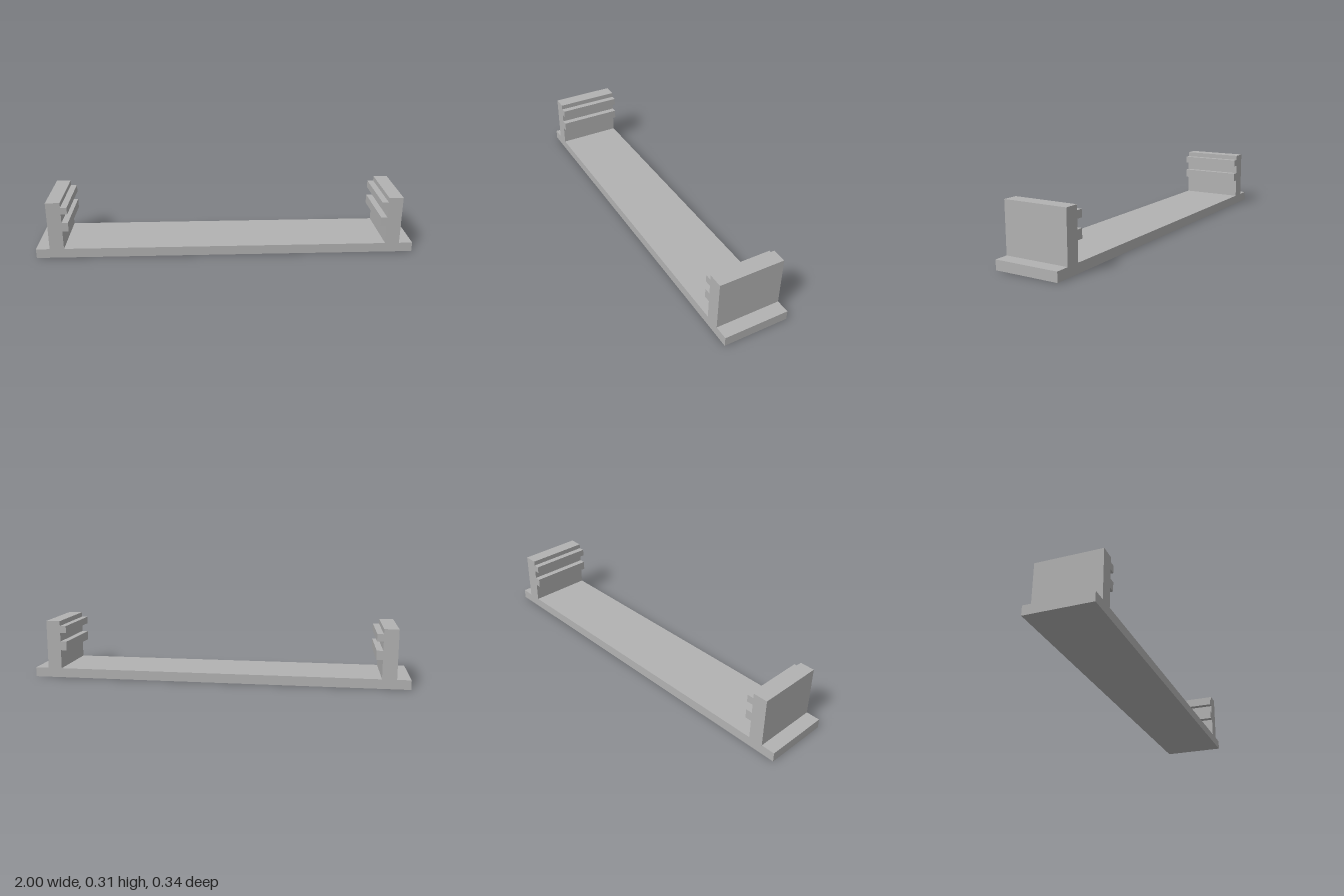
import * as THREE from 'three';

const DEPTH = 0.342;

export function createModel() {
  const group = new THREE.Group();
  group.name = 'railBracket';

  const grey = new THREE.MeshStandardMaterial({ color: 0xb2b2b2 });
  grey.name = 'grey';

  // Half of the cross-section: base flange, upright wall, two inner rails
  const base = 0.05, top = 0.309;
  const outer = 0.928, inner = 0.853, railTip = 0.82;
  const half = [[1, 0], [1, base], [outer, base], [outer, top], [inner, top]];
  for (const [high, low] of [[0.283, 0.245], [0.198, 0.15]]) {
    half.push([inner, high], [railTip, high], [railTip, low], [inner, low]);
  }
  half.push([inner, base]);

  // Mirror the half profile and extrude it along z
  const mirrored = half.map(([x, y]) => [-x, y]).reverse();
  const outline = [...half, ...mirrored].map(([x, y]) => new THREE.Vector2(x, y));
  const geometry = new THREE.ExtrudeGeometry(new THREE.Shape(outline), {
    depth: DEPTH,
    bevelEnabled: false,
  });
  geometry.translate(0, 0, -DEPTH / 2);

  const channel = new THREE.Mesh(geometry, grey);
  channel.name = 'baseWithRailedWalls';
  group.add(channel);
  return group;
}
